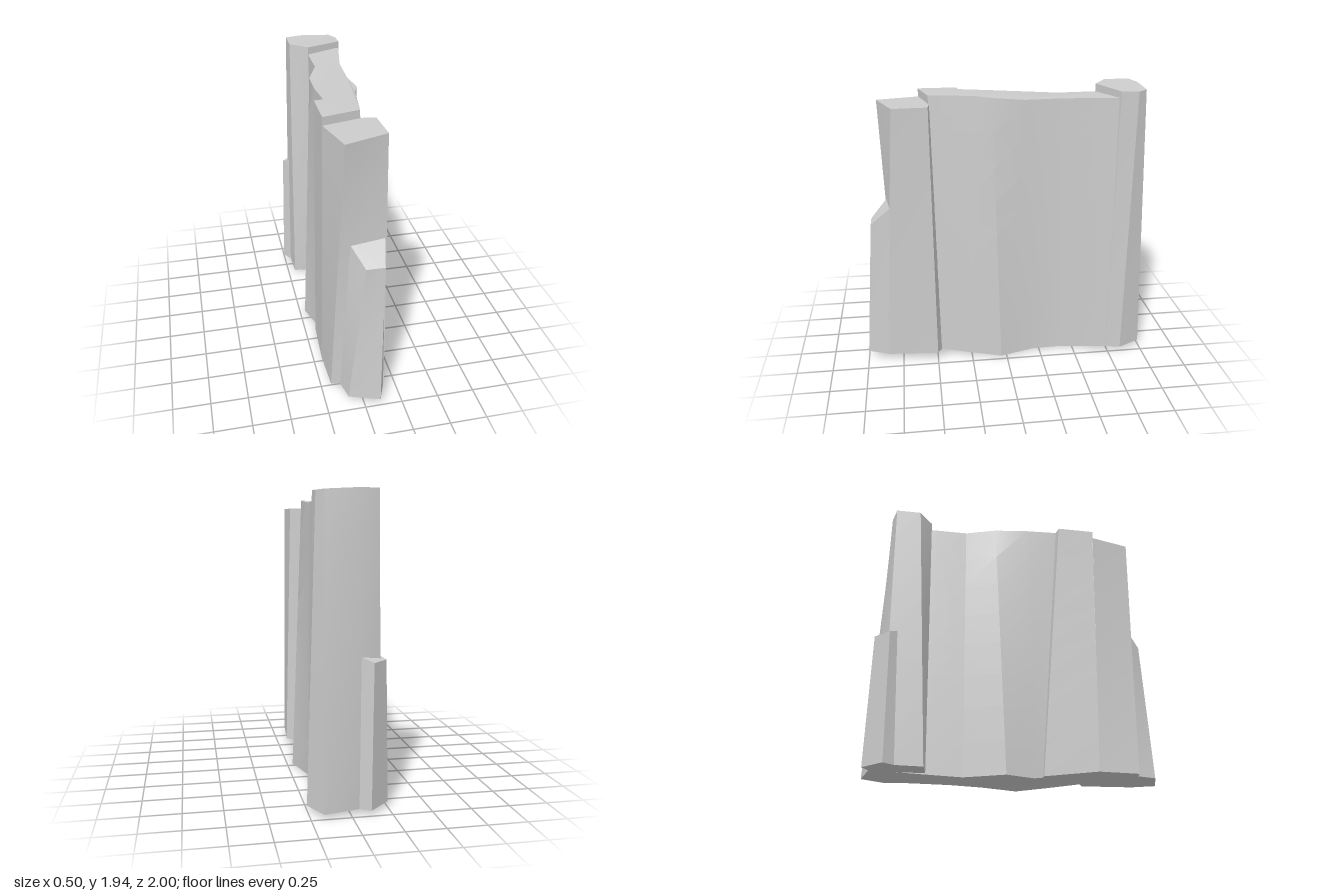
import * as THREE from 'three';
import { toCreasedNormals } from 'three/addons/utils/BufferGeometryUtils.js';

const material = new THREE.MeshStandardMaterial({ color: 0xcccccc });
const ROWS = 8;

// Rock column: each pair joins a foot point to a crown point, [x, z, y] each,
// listed counter-clockwise as seen from above.
function rock(name, pairs) {
  const n = pairs.length, pos = [], index = [];
  for (let r = 0; r <= ROWS; r++) {
    for (const [crown, foot] of pairs) {
      const [x, z, y] = foot.map((f, k) => f + (crown[k] - f) * r / ROWS);
      pos.push(x, y, z);
    }
  }
  // sides
  for (let r = 0; r < ROWS; r++) {
    for (let i = 0; i < n; i++) {
      const a = r * n + i, b = r * n + (i + 1) % n;
      index.push(a, b, b + n, a, b + n, a + n);
    }
  }
  // caps
  const cap = (k) => THREE.ShapeUtils.triangulateShape(
    pairs.map((p) => new THREE.Vector2(p[k][0], -p[k][1])), []);
  for (const [a, b, c] of cap(0)) index.push(ROWS * n + a, ROWS * n + b, ROWS * n + c);
  for (const [a, b, c] of cap(1)) index.push(a, c, b);

  const geo = new THREE.BufferGeometry();
  geo.setAttribute('position', new THREE.Float32BufferAttribute(pos, 3));
  geo.setIndex(index);
  const mesh = new THREE.Mesh(toCreasedNormals(geo, 0.35), material);
  mesh.name = name;
  return mesh;
}

export function createModel() {
  const group = new THREE.Group();
  group.name = 'rockWall';

  // long wavy wall, with a slanted step on its -x face
  group.add(rock('wallSlab', [
    [[0.05, 0.50, 1.905], [0.14, 0.47, 0.05]],
    [[0.09, 0.22, 1.905], [0.17, 0.27, 0.025]],
    [[0.13, 0.09, 1.895], [0.21, 0.04, 0]],
    [[0.12, -0.13, 1.875], [0.14, -0.21, 0]],
    [[0.13, -0.40, 1.88], [0.15, -0.42, 0.01]],
    [[0.195, -0.74, 1.885], [0.225, -0.75, 0.03]],
    [[-0.04, -0.78, 1.885], [-0.04, -0.78, 0.03]],
    [[-0.05, -0.60, 1.88], [-0.05, -0.58, 0.02]],
    [[-0.05, -0.38, 1.88], [-0.06, -0.35, 0.01]],
    [[-0.13, -0.17, 1.875], [-0.21, -0.09, 0]],
    [[-0.14, 0.07, 1.89], [-0.15, 0.10, 0]],
    [[-0.13, 0.29, 1.905], [-0.14, 0.16, 0.01]],
    [[-0.19, 0.30, 1.905], [-0.175, 0.16, 0.01]],
    [[-0.19, 0.56, 1.905], [-0.20, 0.52, 0.05]],
  ]));

  // lower column closing the front end
  group.add(rock('frontColumn', [
    [[0.16, 0.74, 1.85], [0.16, 0.86, 0.05]],
    [[0.15, 0.505, 1.85], [0.19, 0.50, 0.05]],
    [[0.03, 0.49, 1.85], [0.12, 0.46, 0.05]],
    [[-0.17, 0.50, 1.85], [-0.18, 0.46, 0.05]],
    [[-0.19, 0.56, 1.85], [-0.20, 0.52, 0.05]],
    [[-0.12, 0.84, 1.85], [-0.19, 0.79, 0.05]],
  ]));

  // half-height buttress with a sloped shoulder
  group.add(rock('frontButtress', [
    [[0.12, 0.92, 1.05], [0.10, 1.0, 0.05]],
    [[0.15, 0.785, 1.175], [0.16, 0.85, 0.05]],
    [[-0.08, 0.80, 1.175], [-0.13, 0.80, 0.05]],
    [[0.0, 0.92, 1.05], [-0.10, 0.93, 0.05]],
  ]));

  // taller column closing the back end
  group.add(rock('backColumn', [
    [[0.20, -0.75, 1.93], [0.225, -0.74, 0.03]],
    [[0.20, -0.87, 1.925], [0.25, -0.84, 0.03]],
    [[0.16, -0.93, 1.93], [0.17, -1.0, 0.03]],
    [[-0.04, -0.93, 1.94], [-0.05, -0.95, 0.03]],
    [[-0.17, -0.90, 1.94], [-0.21, -0.87, 0.03]],
    [[-0.17, -0.73, 1.94], [-0.20, -0.61, 0.03]],
    [[-0.05, -0.64, 1.935], [-0.05, -0.59, 0.03]],
  ]));

  // small buttress on the back corner
  group.add(rock('backButtress', [
    [[-0.06, -0.93, 0.96], [-0.05, -0.945, 0.03]],
    [[-0.13, -0.98, 0.93], [-0.12, -0.99, 0.03]],
    [[-0.23, -0.88, 0.93], [-0.255, -0.86, 0.03]],
    [[-0.18, -0.82, 0.96], [-0.20, -0.78, 0.03]],
  ]));

  return group;
}
